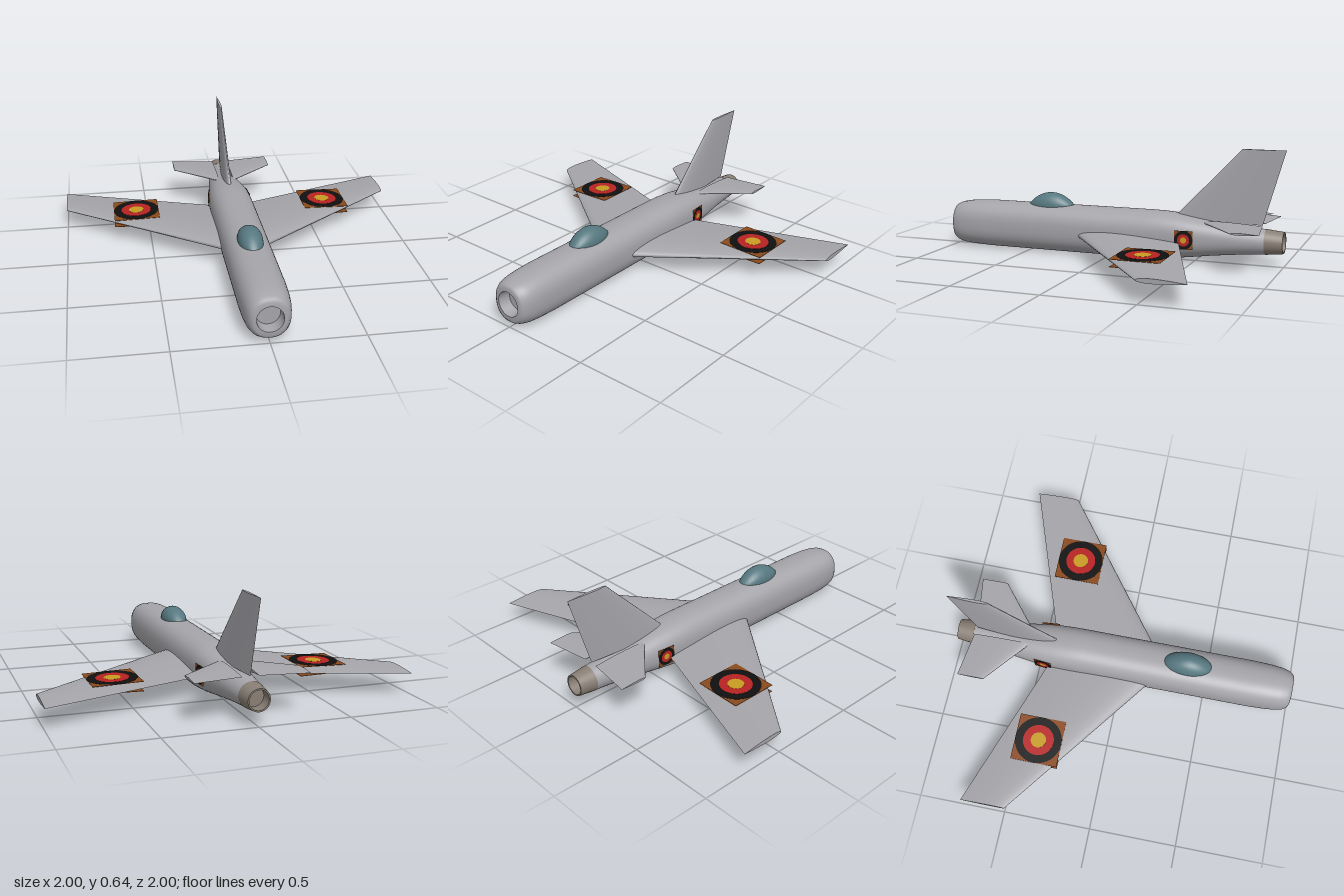
import * as THREE from 'three';

const mat = (name, color, extra = {}) => new THREE.MeshStandardMaterial({ name, color, ...extra });

// Skin a row of equal-length rings and cap both ends; winding is fixed by signed volume.
function loft(rings) {
  const n = rings[0].length, pos = [], idx = [];
  for (const ring of rings) for (const p of ring) pos.push(...p);
  for (let i = 0; i < rings.length - 1; i++) {
    for (let j = 0; j < n; j++) {
      const a = i * n + j, b = i * n + (j + 1) % n;
      idx.push(a, b, a + n, b, b + n, a + n);
    }
  }
  const cap = (ring, flip) => {
    const c = pos.length / 3;
    pos.push(...[0, 1, 2].map(k => ring.reduce((s, p) => s + p[k], 0) / n));
    for (const p of ring) pos.push(...p);
    for (let j = 0; j < n; j++) {
      const a = c + 1 + j, b = c + 1 + (j + 1) % n;
      idx.push(c, flip ? b : a, flip ? a : b);
    }
  };
  cap(rings[0], true);
  cap(rings[rings.length - 1], false);
  const v = i => new THREE.Vector3().fromArray(pos, i * 3);
  let volume = 0;
  for (let i = 0; i < idx.length; i += 3) volume += v(idx[i]).dot(v(idx[i + 1]).cross(v(idx[i + 2])));
  if (volume < 0) idx.reverse();
  const g = new THREE.BufferGeometry();
  g.setAttribute('position', new THREE.Float32BufferAttribute(pos, 3));
  g.setIndex(idx);
  g.computeVertexNormals();
  return g;
}

// Body cross-section: a superellipse, exponent 2 being a plain ellipse.
function section([z, hw, cy, hh, e = 2]) {
  const pw = t => Math.sign(t) * Math.abs(t) ** (2 / e);
  return Array.from({ length: 48 }, (_, i) => {
    const a = i / 48 * Math.PI * 2;
    return [hw * pw(Math.cos(a)), cy + hh * pw(Math.sin(a)), z];
  });
}

// Aerofoil outline as [z, offset] pairs, from trailing edge round the nose and back.
function aerofoil(lead, trail, half) {
  const N = 14, pts = [];
  for (let i = -N; i <= N; i++) {
    const t = (1 - Math.cos(Math.PI * i / N)) / 2;
    const h = 2.969 * Math.sqrt(t) - 1.26 * t - 3.516 * t ** 2 + 2.843 * t ** 3 - 1.036 * t ** 4;
    pts.push([lead + (trail - lead) * t, Math.sign(i) * h * half]);
  }
  return pts;
}

export function createModel() {
  const model = new THREE.Group();
  model.name = 'jetAircraft';
  const grey = mat('bodyGrey', 0xa5a5aa);
  const glass = mat('canopyGlass', 0x567880);
  const metal = mat('nozzleMetal', 0x887e74);
  const brown = mat('markingBrown', 0x8a4a1e);
  const black = mat('markingBlack', 0x101010);
  const red = mat('markingRed', 0xb82222);
  const yellow = mat('markingYellow', 0xc89c22);

  const add = (name, geometry, material, parent = model) => {
    const m = new THREE.Mesh(geometry, material);
    m.name = name;
    parent.add(m);
    return m;
  };

  // Fuselage with a recessed nose intake; repeated rings make sharp lips
  add('fuselage', loft([
    [0.93, 0.064, 0.14, 0.066],
    [1.0, 0.07, 0.14, 0.072], [1.0, 0.07, 0.14, 0.072],
    [1.0, 0.086, 0.14, 0.096, 2.2],
    [0.992, 0.099, 0.14, 0.108, 2.3],
    [0.97, 0.111, 0.14, 0.118, 2.4],
    [0.93, 0.12, 0.14, 0.126, 2.5],
    [0.87, 0.126, 0.141, 0.132, 2.5],
    [0.76, 0.13, 0.141, 0.136, 2.5],
    [0.3, 0.13, 0.141, 0.137, 2.5],
    [-0.24, 0.13, 0.141, 0.137, 2.5],
    [-0.32, 0.129, 0.143, 0.133, 2.5],
    [-0.42, 0.125, 0.144, 0.124, 2.5],
    [-0.52, 0.115, 0.143, 0.11, 2.4],
    [-0.62, 0.102, 0.142, 0.096, 2.3],
    [-0.74, 0.087, 0.141, 0.083, 2.1],
    [-0.84, 0.076, 0.14, 0.074],
    [-0.91, 0.07, 0.14, 0.069],
  ].map(section)), grey);

  // Exhaust nozzle, hollow at the rear
  add('exhaustNozzle', loft([
    [-0.9, 0.072, 0.14, 0.071],
    [-1.0, 0.06, 0.14, 0.06], [-1.0, 0.06, 0.14, 0.06],
    [-1.0, 0.052, 0.14, 0.052], [-1.0, 0.052, 0.14, 0.052],
    [-0.93, 0.052, 0.14, 0.052],
  ].map(section)), metal);

  // Canopy: rounded across, tapering to a point in side view
  const canopy = new THREE.SphereGeometry(1, 32, 24);
  const p = canopy.attributes.position;
  for (let i = 0; i < p.count; i++) {
    const z = p.getZ(i);
    p.setY(i, p.getY(i) * Math.sqrt(Math.max(0, 1 - z * z)) ** 0.7);
  }
  canopy.scale(0.069, 0.076, 0.142);
  canopy.translate(0, 0.27, 0.38);
  canopy.computeVertexNormals();
  add('canopy', canopy, glass);

  // Fin
  const finRing = (y, lead, trail, half) => aerofoil(lead, trail, half).map(([z, o]) => [o, y, z]);
  add('tailFin', loft([finRing(0.23, -0.36, -0.88, 0.022), finRing(0.645, -0.76, -1, 0.008)]), grey);

  // Square marking with three concentric discs, facing +y
  const roundel = (name, size) => {
    const g = new THREE.Group();
    g.name = name;
    add('markingSquare', new THREE.BoxGeometry(size, 0.002, size), brown, g);
    [['outerDisc', 0.5, black], ['middleDisc', 0.33, red], ['innerDisc', 0.165, yellow]].forEach(([n, r, m], i) => {
      add(n, new THREE.CylinderGeometry(r * size, r * size, 0.001, 40), m, g).position.y = 0.0012 + i * 0.0008;
    });
    model.add(g);
    return g;
  };

  for (const [side, label] of [[1, 'left'], [-1, 'right']]) {
    const wingRing = (x, y, lead, trail, half) => aerofoil(lead, trail, half).map(([z, o]) => [side * x, y + o, z]);
    // Swept wing and tailplane
    add(label + 'Wing', loft([
      wingRing(0.02, 0.122, 0.242, -0.402, 0.034),
      wingRing(1, 0.122, -0.49, -0.745, 0.0125),
    ]), grey);
    add(label + 'Tailplane', loft([
      wingRing(0.045, 0.232, -0.553, -0.888, 0.012),
      wingRing(0.308, 0.232, -0.77, -0.925, 0.006),
    ]), grey);

    // Wing markings above and below, following the taper
    const tilt = 0.0219;
    const upper = roundel(label + 'UpperWingMarking', 0.27);
    upper.position.set(side * 0.58, 0.122 + 0.0227, -0.385);
    upper.rotation.z = -side * tilt;
    const lower = roundel(label + 'LowerWingMarking', 0.27);
    lower.position.set(side * 0.58, 0.122 - 0.0227, -0.385);
    lower.rotation.set(Math.PI, 0, -side * tilt);

    // Fuselage marking, following the rear taper
    const flank = roundel(label + 'FuselageMarking', 0.104);
    flank.position.set(side * 0.123, 0.141, -0.465);
    flank.rotation.set(0, side * 0.09, -side * Math.PI / 2);
  }
  return model;
}
